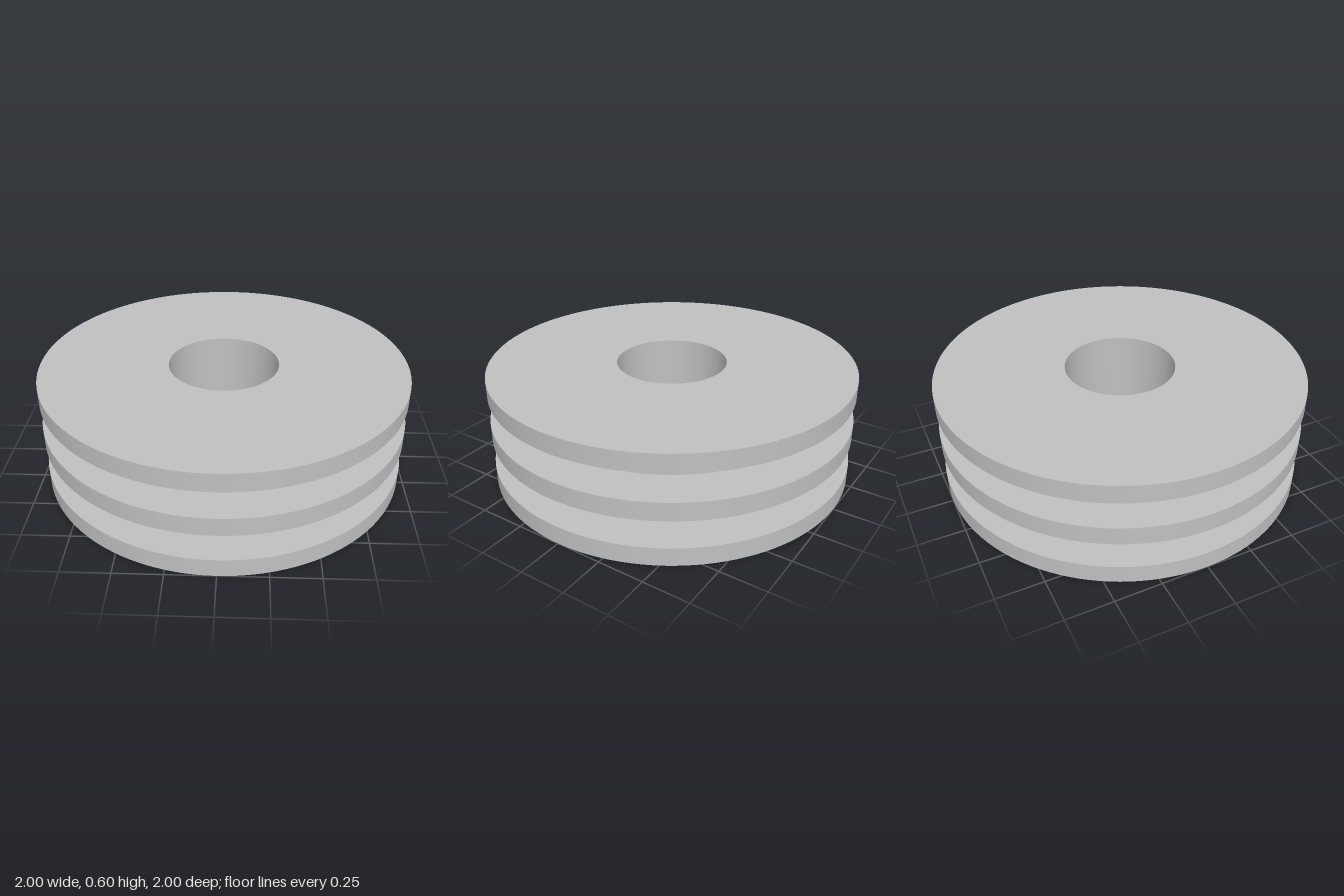
import * as THREE from 'three';
import { mergeGeometries } from 'three/addons/utils/BufferGeometryUtils.js';

const OUTER = 1, CORE = 0.773, BORE = 0.3;
const FLANGE = 0.1, GROOVE = 0.15, HEIGHT = 0.6;
const SEGMENTS = 128;

// Revolves each straight stretch of a profile on its own, so its corners stay sharp.
function revolve(profile) {
  const pieces = [];
  for (let i = 0; i < profile.length - 1; i++) {
    const ends = [profile[i], profile[i + 1]].map(([r, y]) => new THREE.Vector2(r, y));
    pieces.push(new THREE.LatheGeometry(ends, SEGMENTS));
  }
  return mergeGeometries(pieces);
}

export function createModel() {
  const grey = new THREE.MeshStandardMaterial({ color: 0xc0c0c0 });
  grey.name = 'plain grey';
  const group = new THREE.Group();
  group.name = 'groovedPulley';

  const add = (name, profile) => {
    const mesh = new THREE.Mesh(revolve(profile), grey);
    mesh.name = name;
    group.add(mesh);
  };

  // Three flanges; the end faces reach in to the bore, the others to the core
  ['bottomFlange', 'middleFlange', 'topFlange'].forEach((name, i) => {
    const y = i * (FLANGE + GROOVE);
    const under = i === 0 ? BORE : CORE;
    const over = i === 2 ? BORE : CORE;
    add(name, [[under, y], [OUTER, y], [OUTER, y + FLANGE], [over, y + FLANGE]]);
  });

  // Core walls at the bottom of the two grooves
  ['lowerCore', 'upperCore'].forEach((name, i) => {
    const y = FLANGE + i * (FLANGE + GROOVE);
    add(name, [[CORE, y], [CORE, y + GROOVE]]);
  });

  // Through hole, facing the axis
  add('bore', [[BORE, HEIGHT], [BORE, 0]]);

  return group;
}
